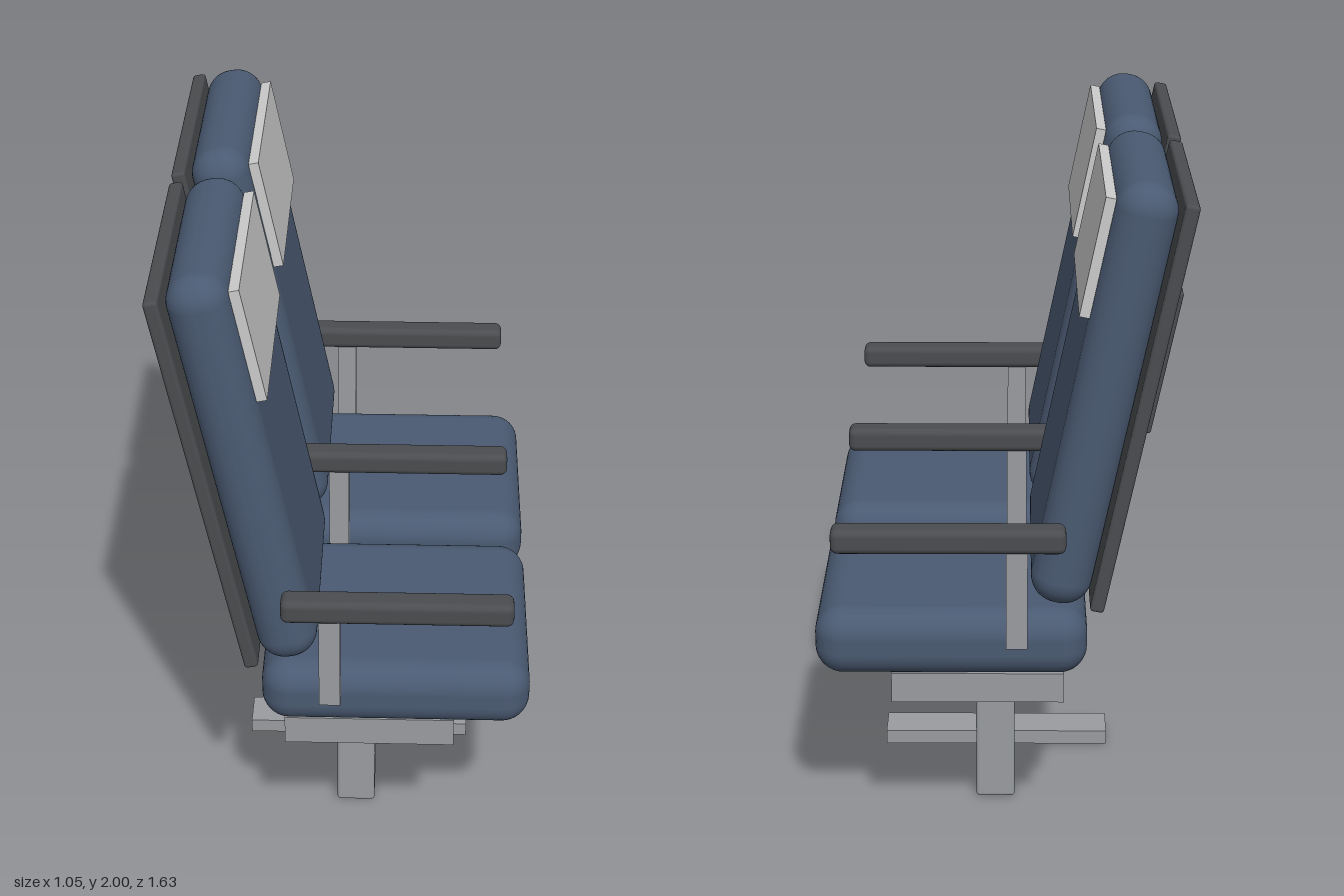
import * as THREE from 'three';
import { RoundedBoxGeometry } from 'three/addons/geometries/RoundedBoxGeometry.js';

const paint = (color) => new THREE.MeshStandardMaterial({ color });

export function createModel() {
  const model = new THREE.Group();
  const fabric = paint(0x4a5a72);
  const plastic = paint(0x4a4c4f);
  const metal = paint(0x999c9f);
  const cloth = paint(0xcccccc);

  // Box given by size and centre; a radius rounds its edges
  function block(parent, name, material, size, centre, radius = 0) {
    const geometry = radius
      ? new RoundedBoxGeometry(...size, radius > 0.05 ? 6 : 3, radius)
      : new THREE.BoxGeometry(...size);
    const mesh = new THREE.Mesh(geometry, material);
    mesh.name = name;
    mesh.position.set(...centre);
    parent.add(mesh);
    return mesh;
  }

  // Base: cross foot, pedestal and the beam under both seats
  block(model, 'crossFoot', metal, [0.695, 0.045, 0.12], [0.0125, 0.0275, 0]);
  block(model, 'pedestal', metal, [0.116, 0.5, 0.77], [0.0125, 0.25, 0], 0.01);
  block(model, 'seatBeam', metal, [0.49, 0.09, 1.4], [0.06, 0.53, 0]);

  // Two seats side by side, facing +x
  for (const side of [-1, 1]) {
    const seat = new THREE.Group();
    seat.name = side > 0 ? 'leftSeat' : 'rightSeat';
    seat.position.z = side * 0.387;
    model.add(seat);
    block(seat, 'seatCushion', fabric, [0.77, 0.2, 0.707], [0.135, 0.67, 0], 0.08);

    // Reclined back with its shell, pocket and head cloth
    const back = new THREE.Group();
    back.name = 'seatBack';
    back.position.set(-0.2825, 1.393, 0);
    back.rotation.z = 0.2;
    seat.add(back);
    block(back, 'backCushion', fabric, [0.172, 1.234, 0.707], [0, 0, 0], 0.08);
    block(back, 'backShell', plastic, [0.04, 1.19, 0.722], [-0.11, 0, 0], 0.01);
    block(back, 'backPocket', plastic, [0.03, 0.412, 0.52], [-0.138, 0.123, 0], 0.008);
    block(back, 'headCloth', cloth, [0.029, 0.336, 0.59], [0.099, 0.388, 0]);
  }

  // Three armrests on posts, the middle one shared
  for (const z of [-0.774, 0, 0.774]) {
    const arm = new THREE.Group();
    arm.name = 'armrest';
    arm.position.z = z;
    model.add(arm);
    block(arm, 'armPad', plastic, [0.645, 0.072, 0.078], [0.1375, 1.024, 0], 0.02);
    block(arm, 'armPost', metal, [0.06, 0.3, 0.047], [-0.05, 0.85, 0]);
  }

  return model;
}
